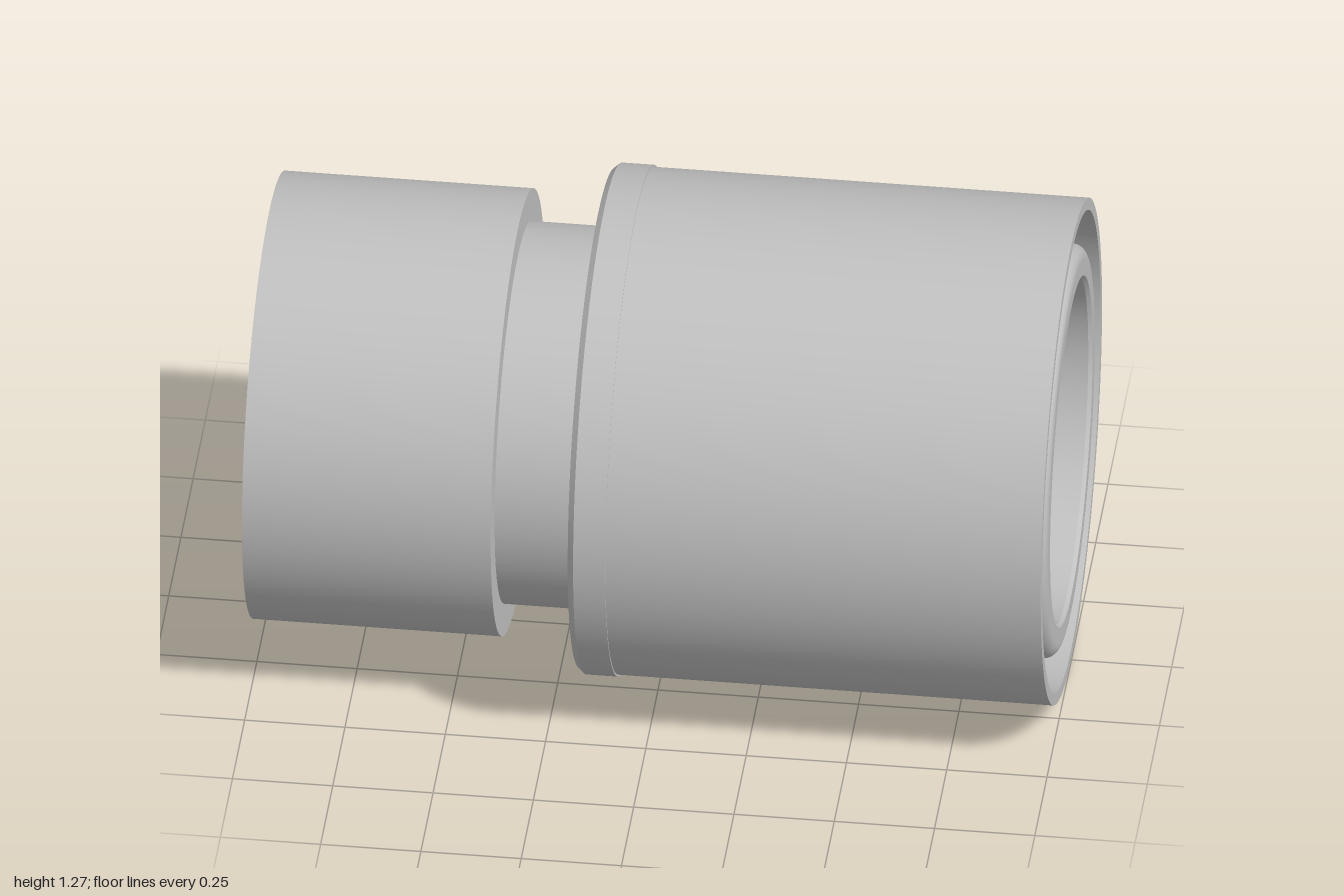
import * as THREE from 'three';
import { mergeGeometries } from 'three/addons/utils/BufferGeometryUtils.js';

const SEGMENTS = 128;

// Revolve a profile of [radius, position along axis]; every span keeps hard edges
function revolve(profile) {
  const spans = [];
  for (let i = 0; i < profile.length - 1; i++) {
    const pair = [profile[i], profile[i + 1]].map(([r, a]) => new THREE.Vector2(r, a));
    spans.push(new THREE.LatheGeometry(pair, SEGMENTS));
  }
  return mergeGeometries(spans);
}

export function createModel() {
  const group = new THREE.Group();
  group.name = 'pipeCoupling';
  const grey = new THREE.MeshStandardMaterial({ color: 0xc0c0c0 });
  grey.name = 'plain grey';

  // Lay the axis of revolution along x
  const body = new THREE.Group();
  body.name = 'couplingBody';
  body.rotation.z = -Math.PI / 2;
  body.position.y = 0.635;
  group.add(body);

  const add = (name, geometry) => {
    const mesh = new THREE.Mesh(geometry, grey);
    mesh.name = name;
    body.add(mesh);
  };

  // Thin-walled socket at the narrow end, with the floor inside it
  add('narrowSocket', revolve([
    [0.41, -0.69], [0.54, -0.69], [0.54, -1], [0.556, -1], [0.556, -0.38], [0.475, -0.38],
  ]));

  // Recessed neck between the two sleeves
  add('neck', revolve([[0.475, -0.38], [0.475, -0.18]]));

  // Slightly raised, chamfered collar
  add('collar', revolve([
    [0.475, -0.18], [0.622, -0.18], [0.635, -0.165], [0.635, -0.085], [0.63, -0.085],
  ]));

  // Wide outer sleeve with a tapered inside and a deep groove floor
  add('outerSleeve', revolve([
    [0.63, -0.085], [0.63, 1], [0.6, 1], [0.567, -0.05], [0.515, -0.05],
  ]));

  // Inner tube: outside wall, rounded lip and tapered bore
  add('innerTubeWall', revolve([[0.515, -0.05], [0.515, 0.965]]));
  const lip = [];
  for (let i = 0; i <= 8; i++) {
    const t = (i / 8) * Math.PI / 2;
    lip.push(new THREE.Vector2(0.48 + 0.035 * Math.cos(t), 0.965 + 0.035 * Math.sin(t)));
  }
  add('innerTubeLip', new THREE.LatheGeometry(lip, SEGMENTS));
  add('bore', revolve([[0.48, 1], [0.437, 1], [0.43, 0.99], [0.41, -0.69]]));

  return group;
}
